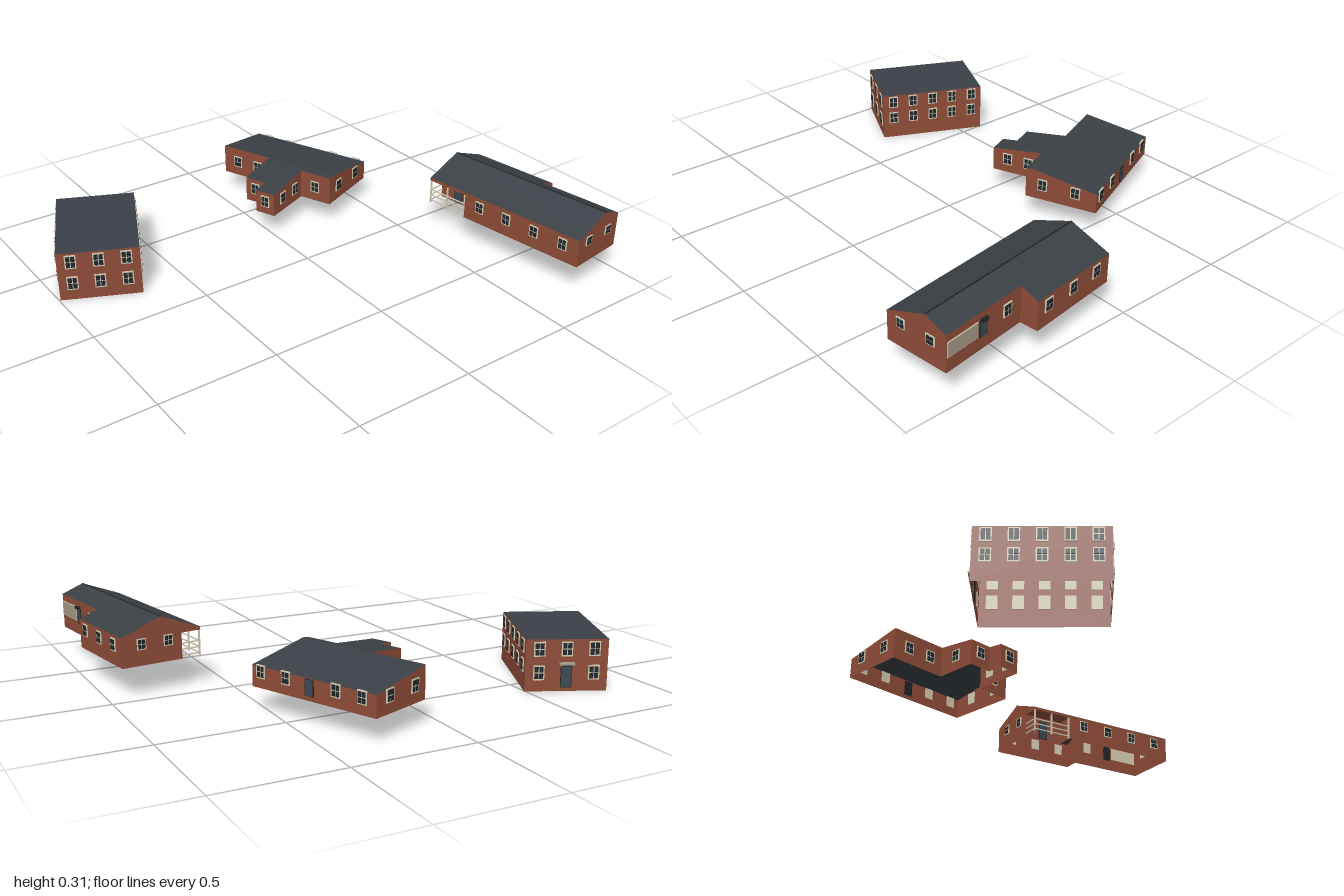
import * as THREE from 'three';

const mat = (name, color, side = THREE.FrontSide) => {
  const m = new THREE.MeshStandardMaterial({ color, side });
  m.name = name;
  return m;
};
const M = {
  brick: mat('brick', 0x8f4c38, THREE.DoubleSide),
  roof: mat('roof slate', 0x3a4045, THREE.DoubleSide),
  ridge: mat('dark trim', 0x202427),
  frame: mat('cream frame', 0xd3cbb2),
  glass: mat('dark glass', 0x20272c),
  door: mat('door blue grey', 0x3b4852),
  panel: mat('beige panel', 0xa59a86),
};

// flat-shaded mesh from a list of quads (four corners each, counter-clockwise)
function quads(name, list, material) {
  const pos = [];
  for (const [a, b, c, d] of list) pos.push(...a, ...b, ...c, ...a, ...c, ...d);
  const g = new THREE.BufferGeometry();
  g.setAttribute('position', new THREE.Float32BufferAttribute(pos, 3));
  g.computeVertexNormals();
  const mesh = new THREE.Mesh(g, material);
  mesh.name = name;
  return mesh;
}

// walls around a footprint of [x, z] points, rising to the roof height
function walls(name, poly, y0, h) {
  return quads(name, poly.map(([x, z], i) => {
    const [u, v] = poly[(i + 1) % poly.length];
    return [[x, y0, z], [u, y0, v], [u, h(u), v], [x, h(x), z]];
  }), M.brick);
}

// roof faces over rectangles [x0, x1, z0, z1]
function roof(name, rects, h, material = M.roof) {
  return quads(name, rects.map(([x0, x1, z0, z1]) => [
    [x0, h(x0), z1], [x1, h(x1), z1], [x1, h(x1), z0], [x0, h(x0), z0],
  ]), material);
}

function box(parent, name, w, h, d, x, y, z, material) {
  const m = new THREE.Mesh(new THREE.BoxGeometry(w, h, d), material);
  m.name = name;
  m.position.set(x, y, z);
  parent.add(m);
  return m;
}

// group whose +z points out of a wall: side is front, right, back or left
const TURN = { front: 0, right: Math.PI / 2, back: Math.PI, left: -Math.PI / 2 };
function onWall(parent, name, side, wall, along, y) {
  const g = new THREE.Group();
  g.name = name;
  g.rotation.y = TURN[side];
  if (side === 'front' || side === 'back') g.position.set(along, y, wall);
  else g.position.set(wall, y, along);
  parent.add(g);
  return g;
}

function addWindow(parent, side, wall, along, y, w = 0.042, h = 0.052) {
  const g = onWall(parent, 'window', side, wall, along, y);
  box(g, 'windowFrame', w, h, 0.006, 0, 0, 0.001, M.frame);
  const pw = w * 0.36, ph = h * 0.38;
  for (const i of [-1, 1]) for (const j of [-1, 1])
    box(g, 'windowPane', pw, ph, 0.003, i * w * 0.215, j * h * 0.22, 0.0035, M.glass);
}

function addDoor(parent, side, wall, along, y, w = 0.036, h = 0.06) {
  const g = onWall(parent, 'door', side, wall, along, y);
  box(g, 'doorFrame', w + 0.005, h + 0.004, 0.004, 0, 0, 0.001, M.ridge);
  box(g, 'doorLeaf', w, h, 0.004, 0, 0, 0.002, M.door);
}

function building(name, x, z, angle) {
  const g = new THREE.Group();
  g.name = name;
  g.position.set(x, 0, z);
  g.rotation.y = angle;
  return g;
}

// two-storey block with a flat roof
function flatBlock() {
  const g = building('twoStoreyBlock', -0.745, -0.455, -0.436);
  const X = 0.165, Z = 0.2375, h = () => 0.213;
  g.add(walls('blockWalls', [[-X, Z], [X, Z], [X, -Z], [-X, -Z]], 0, h));
  g.add(roof('blockRoof', [[-X, X, -Z, Z]], h));
  for (const x of [-0.11, 0, 0.11]) {
    for (const y of [0.077, 0.174]) {
      addWindow(g, 'front', Z, x, y, 0.045, 0.06);
      if (x !== 0 || y > 0.1) addWindow(g, 'back', -Z, x, y, 0.045, 0.06);
    }
  }
  for (const z of [-0.19, -0.095, 0, 0.095, 0.19]) for (const y of [0.1, 0.18]) {
    addWindow(g, 'right', X, z, y, 0.042, 0.055);
    addWindow(g, 'left', -X, z, y, 0.042, 0.055);
  }
  addDoor(g, 'back', -Z, 0, 0.06, 0.04, 0.085);
  box(g, 'doorCanopy', 0.06, 0.008, 0.022, 0, 0.115, -Z - 0.011, M.panel);
  return g;
}

// single-storey house with stepped side wings
function wingedHouse() {
  const g = building('wingedHouse', 0.3, -0.53, 0.39);
  const R = -0.134, Z = 0.295;
  const h = x => 0.227 - (x > R ? 0.166 * (x - R) : 0.12 * (R - x));
  g.add(walls('houseWalls', [
    [-0.163, Z], [R, Z], [0.149, Z], [0.149, -Z], [R, -Z], [R, -0.047], [-0.317, -0.047],
    [-0.317, 0.053], [-0.385, 0.053], [-0.385, 0.146], [-0.163, 0.146],
  ], 0.095, h));
  g.add(roof('houseRoof', [
    [R, 0.149, -Z, Z], [-0.317, R, -0.047, 0.053],
    [-0.385, R, 0.053, 0.146], [-0.163, R, 0.146, Z],
  ], h));
  for (const z of [0.25, 0.125, -0.114, -0.233]) addWindow(g, 'right', 0.149, z, 0.16);
  addDoor(g, 'right', 0.149, 0.01, 0.145);
  for (const x of [-0.088, 0.057]) addWindow(g, 'front', Z, x, 0.163);
  for (const x of [-0.07, 0.075]) addWindow(g, 'back', -Z, x, 0.163);
  for (const x of [-0.317, -0.22]) addWindow(g, 'front', 0.146, x, 0.158);
  addWindow(g, 'back', -0.047, -0.225, 0.16);
  addWindow(g, 'left', -0.163, 0.22, 0.163);
  addWindow(g, 'left', -0.385, 0.1, 0.155);
  addWindow(g, 'left', -0.317, 0.003, 0.16);
  for (const z of [-0.22, -0.11]) addWindow(g, 'left', R, z, 0.163);
  return g;
}

// long gabled house with a corner porch
function longHouse() {
  const g = building('longHouse', 0.79, 0.45, 0.139);
  const R = 0.038, Z = 0.386, L = -0.134, P = -0.05, Q = -0.19;
  const h = x => 0.309 - 0.384 * Math.abs(x - R);
  g.add(walls('longWalls', [
    [L, Z], [R, Z], [0.132, Z], [0.132, 0.015], [0.208, 0.015], [0.208, -Z],
    [R, -Z], [P, -Z], [P, Q], [L, Q],
  ], 0.123, h));
  g.add(roof('longRoof', [[L, R, -Z, Z], [R, 0.132, 0.015, Z], [R, 0.208, -Z, 0.015]], h));
  box(g, 'ridgeCap', 0.005, 0.004, 2 * Z, R, 0.308, 0, M.ridge);

  // porch: header, ceiling, posts and rails
  g.add(walls('porchHeader', [[L, Q], [P, Q], [P, -Z], [L, -Z]], 0.23, h));
  g.add(roof('porchCeiling', [[L, P, -Z, Q]], () => 0.232, M.brick));
  for (const z of [-Z + 0.004, -0.29, Q - 0.004])
    box(g, 'porchPost', 0.006, 0.11, 0.006, L + 0.004, 0.178, z, M.frame);
  for (const y of [0.135, 0.16, 0.185]) {
    box(g, 'porchRail', 0.004, 0.005, Q + Z, L + 0.004, y, (Q - Z) / 2, M.frame);
    box(g, 'porchEndRail', P - L, 0.005, 0.004, (L + P) / 2, y, -Z + 0.004, M.frame);
  }
  addDoor(g, 'left', P, -0.29, 0.17, 0.04, 0.085);

  for (const x of [-0.069, 0.064]) addWindow(g, 'front', Z, x, 0.222, 0.038, 0.04);
  for (const x of [0.01, 0.125]) addWindow(g, 'back', -Z, x, 0.21, 0.038, 0.045);
  for (const z of [-0.041, -0.177, -0.311]) addWindow(g, 'right', 0.208, z, 0.206);
  addWindow(g, 'right', 0.132, 0.086, 0.215);
  addDoor(g, 'right', 0.132, 0.207, 0.207);
  for (const z of [-0.11, 0.03, 0.17, 0.31]) addWindow(g, 'left', L, z, 0.2);

  // wide beige panel beside the side door
  const p = onWall(g, 'sidePanel', 'right', 0.132, 0.308, 0.213);
  box(p, 'panelFrame', 0.148, 0.062, 0.004, 0, 0, 0.001, M.frame);
  box(p, 'panelFace', 0.143, 0.056, 0.004, 0, 0, 0.002, M.panel);
  box(g, 'doorLamp', 0.014, 0.01, 0.03, 0.138, 0.244, 0.207, M.ridge);
  return g;
}

export function createModel() {
  const model = new THREE.Group();
  model.name = 'threeBrickBuildings';
  model.add(flatBlock(), wingedHouse(), longHouse());
  return model;
}
